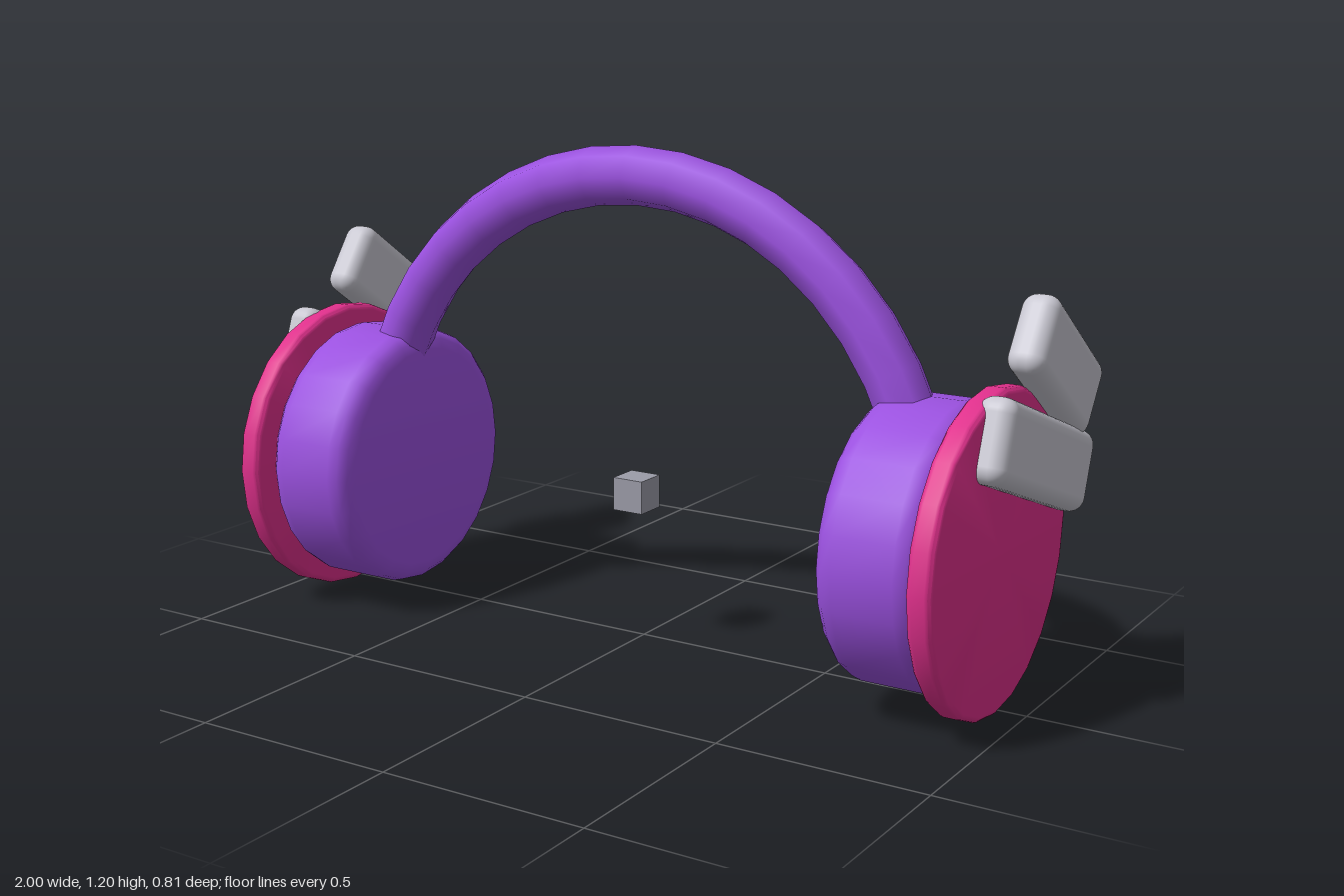
import * as THREE from 'three';
import { toCreasedNormals } from 'three/addons/utils/BufferGeometryUtils.js';
import { RoundedBoxGeometry } from 'three/addons/geometries/RoundedBoxGeometry.js';

const CY = 0.375; // shared centre of band arc, cups and core cube
const CZ = 0.033;

function material(name, color) {
  const m = new THREE.MeshStandardMaterial({ color });
  m.name = name;
  return m;
}

function mesh(name, geometry, mat, x = 0, y = CY, z = CZ) {
  const m = new THREE.Mesh(geometry, mat);
  m.name = name;
  m.position.set(x, y, z);
  return m;
}

// Solid disc along y with rounded rims, centred on the origin
function roundedDisc(radius, width, bevel, crease) {
  const h = width / 2;
  const pts = [new THREE.Vector2(0, -h)];
  for (const end of [-1, 1]) {
    for (let i = 0; i <= 3; i++) {
      const a = (end < 0 ? i - 3 : i) * Math.PI / 6;
      pts.push(new THREE.Vector2(
        radius - bevel + bevel * Math.cos(a),
        end * (h - bevel) + bevel * Math.sin(a)));
    }
  }
  pts.push(new THREE.Vector2(0, h));
  return toCreasedNormals(new THREE.LatheGeometry(pts, 24), crease);
}

export function createModel() {
  const purple = material('purple', 0x9b51e0);
  const pink = material('pink', 0xe0308c);
  const silver = material('silver', 0xc9c8d2);
  const grey = material('grey', 0x9b9ca8);

  const model = new THREE.Group();
  model.name = 'headphones';

  // Headband: an arc whose ends sink into the cups
  const start = THREE.MathUtils.degToRad(20);
  const arc = new THREE.TorusGeometry(0.763, 0.07, 8, 16, Math.PI - 2 * start);
  arc.rotateZ(start);
  model.add(mesh('headband', arc, purple));

  // Small cube at the centre of the arc
  model.add(mesh('centreCube', new THREE.BoxGeometry(0.08, 0.08, 0.08), grey));

  const cup = roundedDisc(0.33, 0.245, 0.05, 0.9);
  const plate = roundedDisc(0.37, 0.058, 0.014, 0.9);
  const longBar = new RoundedBoxGeometry(0.09, 0.19, 0.546, 4, 0.036);
  const shortBar = new RoundedBoxGeometry(0.09, 0.19, 0.392, 4, 0.036);

  // Ear pieces, mirrored left and right
  for (const s of [1, -1]) {
    const side = new THREE.Group();
    side.name = s > 0 ? 'leftEarpiece' : 'rightEarpiece';

    const cushion = mesh('earCup', cup, purple, s * 0.763);
    const cover = mesh('coverPlate', plate, pink, s * 0.912);
    cushion.rotation.z = cover.rotation.z = -s * Math.PI / 2;

    // Slanted bars on the outer face
    const lower = mesh('lowerBar', longBar, silver, s * 0.955, 0.572, -0.087);
    lower.rotation.x = -THREE.MathUtils.degToRad(20);
    const upper = mesh('upperBar', shortBar, silver, s * 0.953, 0.752, -0.204);
    upper.rotation.x = -THREE.MathUtils.degToRad(35);

    side.add(cushion, cover, lower, upper);
    model.add(side);
  }
  return model;
}
